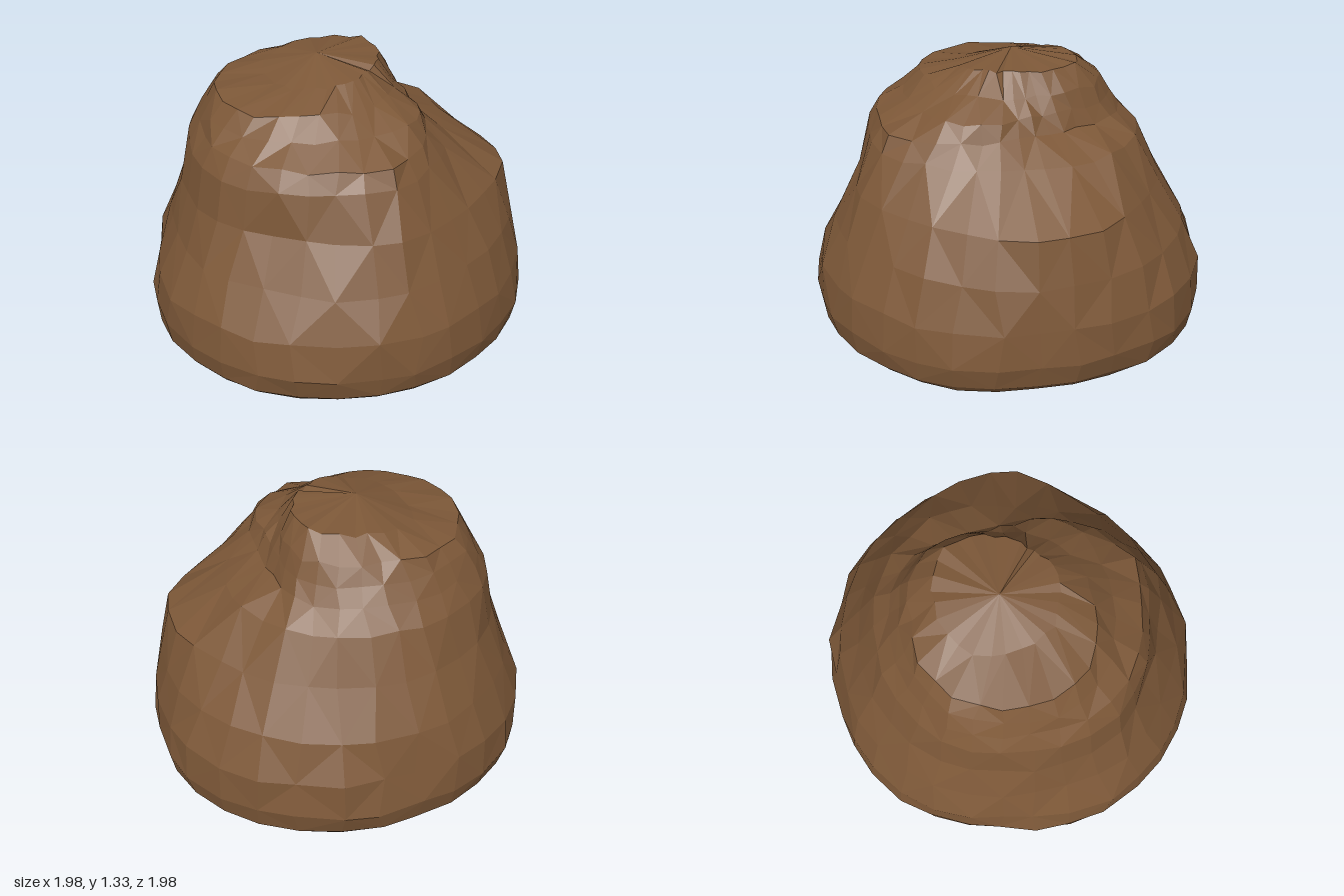
import * as THREE from 'three';

// Height, then 16 radii round the boulder, starting at +x and turning toward +z
const RINGS = [
  [0.14, 0.985, 0.96, 0.99, 0.98, 0.99, 0.99, 1.01, 1.01, 0.99, 0.95, 0.99, 1.0, 0.99, 1.01, 1.02, 1.03],
  [0.52, 0.92, 0.91, 0.88, 0.87, 0.89, 0.87, 0.86, 0.88, 0.85, 0.86, 0.9, 0.91, 0.91, 0.91, 0.91, 0.93],
  [0.74, 0.84, 0.85, 0.77, 0.75, 0.79, 0.75, 0.74, 0.79, 0.78, 0.78, 0.8, 0.8, 0.79, 0.78, 0.78, 0.78],
  [0.95, 0.58, 0.53, 0.57, 0.62, 0.69, 0.67, 0.71, 0.76, 0.74, 0.74, 0.76, 0.72, 0.69, 0.68, 0.65, 0.62],
  [1.04, 0.39, 0.4, 0.47, 0.55, 0.64, 0.62, 0.66, 0.7, 0.68, 0.68, 0.7, 0.65, 0.61, 0.58, 0.53, 0.43],
  [1.12, 0.34, 0.36, 0.44, 0.46, 0.46, 0.48, 0.54, 0.61, 0.64, 0.64, 0.66, 0.6, 0.55, 0.53, 0.48, 0.39],
  [1.2, 0.28, 0.28, 0.28, 0.31, 0.35, 0.37, 0.44, 0.54, 0.57, 0.59, 0.6, 0.56, 0.49, 0.48, 0.44, 0.35],
  [1.28, 0.22, 0.2, 0.18, 0.18, 0.2, 0.22, 0.25, 0.29, 0.31, 0.35, 0.39, 0.39, 0.37, 0.36, 0.34, 0.28],
];
const SIDES = 32;

// Repeatable chips between -1 and 1
function makeChips(seed) {
  return () => {
    seed = (seed * 16807) % 2147483647;
    return (seed / 2147483647) * 2 - 1;
  };
}

// Radius of a ring at a side, halfway values blended from the neighbours
function radiusAt(ring, i) {
  const k = Math.floor(i / 2);
  const a = ring[1 + k];
  const b = ring[1 + ((k + 1) % 16)];
  return i % 2 ? (a + b) / 2 : a;
}

function boulderGeometry() {
  const chip = makeChips(271);
  const positions = [];
  const index = [];

  // Levels: flat base, rounded foot, swelling side, then the surveyed rings
  const foot = RINGS[0];
  const levels = [
    { ring: foot, y: 0, scale: 0.95, rough: 0 },
    { ring: foot, y: 0.03, scale: 0.98, rough: 0.006 },
    { ring: foot, y: foot[0], scale: 1, rough: 0.01 },
    { ring: foot, y: 0.32, scale: 0.975, rough: 0.016 },
    ...RINGS.slice(1).map((ring) => ({ ring, y: ring[0], scale: 1, rough: 0.009 })),
  ];

  levels.forEach(({ ring, y, scale, rough }, j) => {
    for (let i = 0; i < SIDES; i++) {
      const turn = ((i + chip() * rough * 12) / SIDES) * Math.PI * 2;
      const r = radiusAt(ring, i) * scale + chip() * rough;
      const x = Math.cos(turn) * r;
      const tilt = j === levels.length - 1 ? 0.1 * x : 0;
      positions.push(x, y + tilt + chip() * rough * 1.2, Math.sin(turn) * r);
    }
  });

  // Skin between the rings
  const at = (j, i) => j * SIDES + (i % SIDES);
  for (let j = 0; j < levels.length - 1; j++) {
    for (let i = 0; i < SIDES; i++) {
      const a = at(j, i), b = at(j + 1, i), c = at(j, i + 1), d = at(j + 1, i + 1);
      if ((i + j) % 2) index.push(a, b, c, b, d, c);
      else index.push(a, b, d, a, d, c);
    }
  }

  // Summit and flat underside
  const summit = positions.length / 3;
  positions.push(-0.07, 1.33, -0.08, 0, 0, 0);
  for (let i = 0; i < SIDES; i++) {
    index.push(at(levels.length - 1, i), summit, at(levels.length - 1, i + 1));
    index.push(summit + 1, at(0, i), at(0, i + 1));
  }

  const geometry = new THREE.BufferGeometry();
  geometry.setAttribute('position', new THREE.Float32BufferAttribute(positions, 3));
  geometry.setIndex(index);
  const faceted = geometry.toNonIndexed();
  faceted.computeVertexNormals();
  return faceted;
}

export function createModel() {
  const stone = new THREE.MeshStandardMaterial({ color: 0x7d5838, flatShading: true });
  stone.name = 'brown stone';

  const boulder = new THREE.Mesh(boulderGeometry(), stone);
  boulder.name = 'boulder';

  const model = new THREE.Group();
  model.name = 'rock';
  model.add(boulder);
  return model;
}
